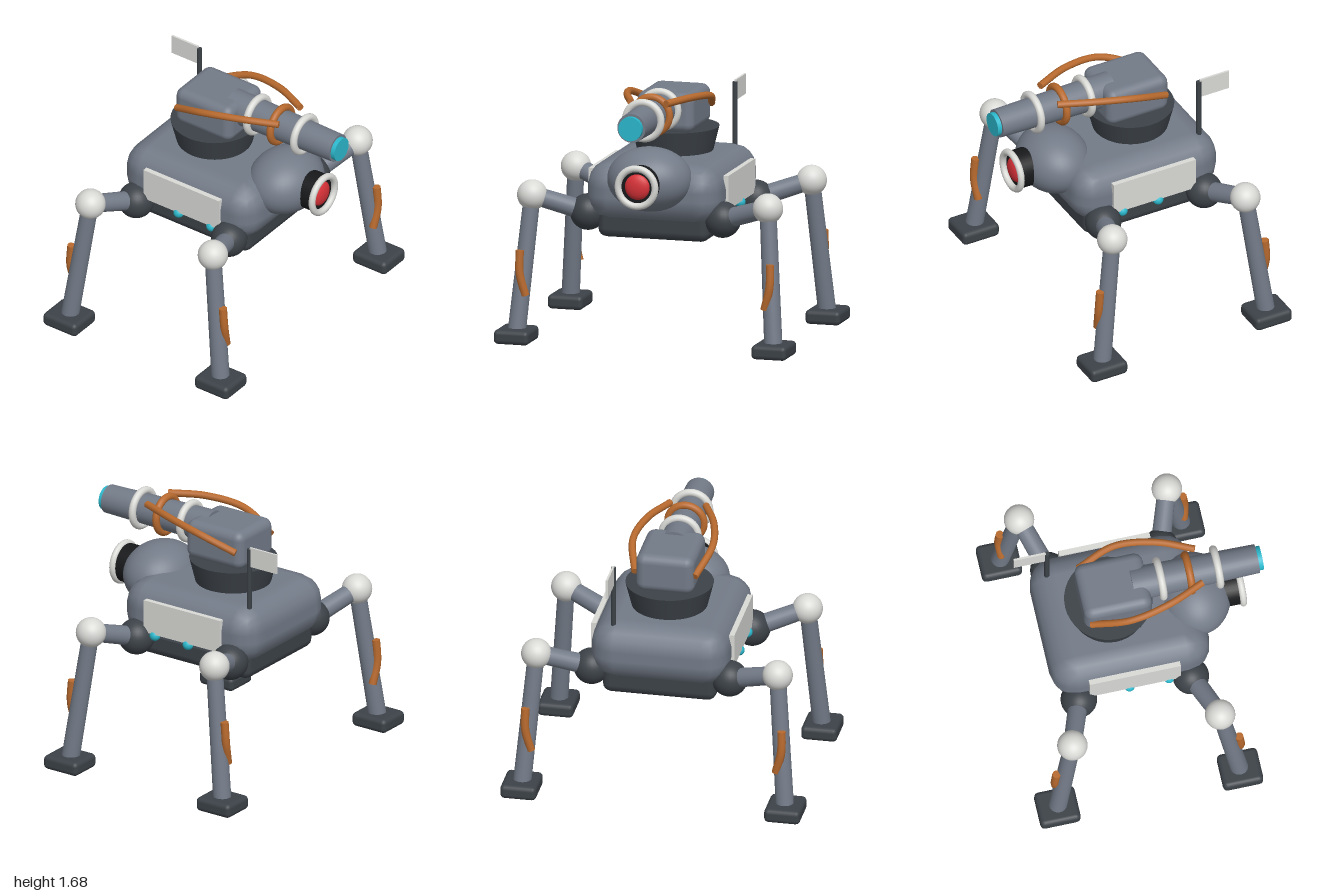
import * as THREE from 'three';
import { RoundedBoxGeometry } from 'three/addons/geometries/RoundedBoxGeometry.js';

const paint = (name, hex) => {
  const m = new THREE.MeshStandardMaterial({ color: hex });
  m.name = name;
  return m;
};
const V = (x, y, z) => new THREE.Vector3(x, y, z);

export function createModel() {
  const grey = paint('steel grey', 0x737b88);
  const dark = paint('dark grey', 0x3c4248);
  const white = paint('off white', 0xd9d9d6);
  const copper = paint('copper', 0xb86a2e);
  const cyan = paint('cyan', 0x2bb8cc);
  const red = paint('red', 0xd83238);
  const black = paint('black', 0x17181a);

  const model = new THREE.Group();
  model.name = 'walkerRobot';

  const add = (parent, name, geo, mat, x = 0, y = 0, z = 0) => {
    const mesh = new THREE.Mesh(geo, mat);
    mesh.name = name;
    mesh.position.set(x, y, z);
    parent.add(mesh);
    return mesh;
  };
  // Cylinder between two points
  const rod = (parent, name, a, b, ra, rb, mat, sides = 24) => {
    const dir = b.clone().sub(a);
    const mesh = add(parent, name, new THREE.CylinderGeometry(rb, ra, dir.length(), sides), mat);
    mesh.position.copy(a).add(b).multiplyScalar(0.5);
    mesh.quaternion.setFromUnitVectors(V(0, 1, 0), dir.normalize());
    return mesh;
  };
  // Capped hose through points
  const hose = (parent, name, pts, r) => {
    const curve = new THREE.CatmullRomCurve3(pts);
    add(parent, name, new THREE.TubeGeometry(curve, 32, r, 10), copper);
    const ends = [[0, -1], [1, 1]];
    for (const [t, s] of ends) {
      const cap = add(parent, name + 'End', new THREE.CircleGeometry(r, 10), copper);
      cap.position.copy(curve.getPoint(t));
      cap.quaternion.setFromUnitVectors(V(0, 0, 1), curve.getTangent(t).multiplyScalar(s));
    }
  };

  // Hull
  add(model, 'body', new RoundedBoxGeometry(0.92, 0.4, 1.07, 2, 0.17), grey, 0, 1.005, -0.1);
  add(model, 'belly', new RoundedBoxGeometry(0.76, 0.24, 0.92, 2, 0.06), dark, 0, 0.815, -0.1);
  for (const s of [1, -1]) {
    add(model, 'sidePanel', new THREE.BoxGeometry(0.035, 0.225, 0.61), white, s * 0.46, 1.012, -0.1);
    for (let i = 0; i < 3; i++)
      add(model, 'sideLight', new THREE.SphereGeometry(0.036, 20, 14), cyan, s * 0.455, 0.885, 0.13 - 0.265 * i);
  }

  // Head with eye
  add(model, 'head', new THREE.SphereGeometry(1, 40, 28), grey, 0, 1.115, 0.4).scale.set(0.283, 0.213, 0.237);
  rod(model, 'eyeSocket', V(0, 1.115, 0.5), V(0, 1.115, 0.685), 0.13, 0.13, black, 32);
  add(model, 'eyeRing', new THREE.TorusGeometry(0.126, 0.023, 14, 40), white, 0, 1.115, 0.703);
  add(model, 'eyeLens', new THREE.SphereGeometry(0.086, 28, 18), red, 0, 1.115, 0.68).scale.z = 0.45;

  // Turret
  add(model, 'turretBase', new THREE.CylinderGeometry(0.29, 0.25, 0.16, 40), dark, 0, 1.285, -0.175);
  add(model, 'turret', new RoundedBoxGeometry(0.39, 0.265, 0.455, 3, 0.06), grey, 0, 1.493, -0.143);
  rod(model, 'barrel', V(0, 1.533, -0.02), V(0, 1.533, 0.82), 0.113, 0.096, grey, 32);
  rod(model, 'barrelLens', V(0, 1.533, 0.8), V(0, 1.533, 0.85), 0.08, 0.08, cyan, 32);
  [[0.55, white], [0.36, copper], [0.17, white]].forEach(([z, mat]) =>
    add(model, 'barrelRing', new THREE.TorusGeometry(0.12, 0.025, 14, 40), mat, 0, 1.533, z));
  for (const s of [1, -1])
    hose(model, 'turretHose', [V(s * 0.2, 1.495, -0.335), V(s * 0.265, 1.595, -0.08),
      V(s * 0.22, 1.63, 0.19), V(s * 0.12, 1.628, 0.43)], 0.024);

  // Antenna and flag
  rod(model, 'antenna', V(0.305, 1.15, -0.52), V(0.305, 1.605, -0.52), 0.017, 0.017, dark, 12);
  add(model, 'flag', new THREE.BoxGeometry(0.014, 0.135, 0.215), white, 0.305, 1.55, -0.635);

  // Legs, mirrored across both axes of the body
  for (const sx of [1, -1]) for (const sz of [1, -1]) {
    const leg = new THREE.Group();
    leg.name = (sz > 0 ? 'front' : 'back') + (sx > 0 ? 'Left' : 'Right') + 'Leg';
    model.add(leg);
    const P = (x, y, z) => V(sx * x, y, -0.1 + sz * z);
    const hip = P(0.46, 0.847, 0.375), knee = P(0.805, 0.963, 0.495), ankle = P(0.877, 0.06, 0.61);
    add(leg, 'hip', new THREE.SphereGeometry(0.12, 28, 20), dark, ...hip);
    rod(leg, 'upperLeg', hip, knee, 0.065, 0.06, grey);
    add(leg, 'knee', new THREE.SphereGeometry(0.1, 28, 20), white, ...knee);
    rod(leg, 'lowerLeg', knee, ankle, 0.055, 0.06, grey);
    add(leg, 'foot', new RoundedBoxGeometry(0.24, 0.095, 0.27, 2, 0.03), dark, sx * 0.88, 0.0475, -0.1 + sz * 0.612);
    hose(leg, 'legHose', [P(0.855, 0.612, 0.612), P(0.853, 0.46, 0.622), P(0.817, 0.312, 0.612)], 0.028);
  }
  return model;
}
